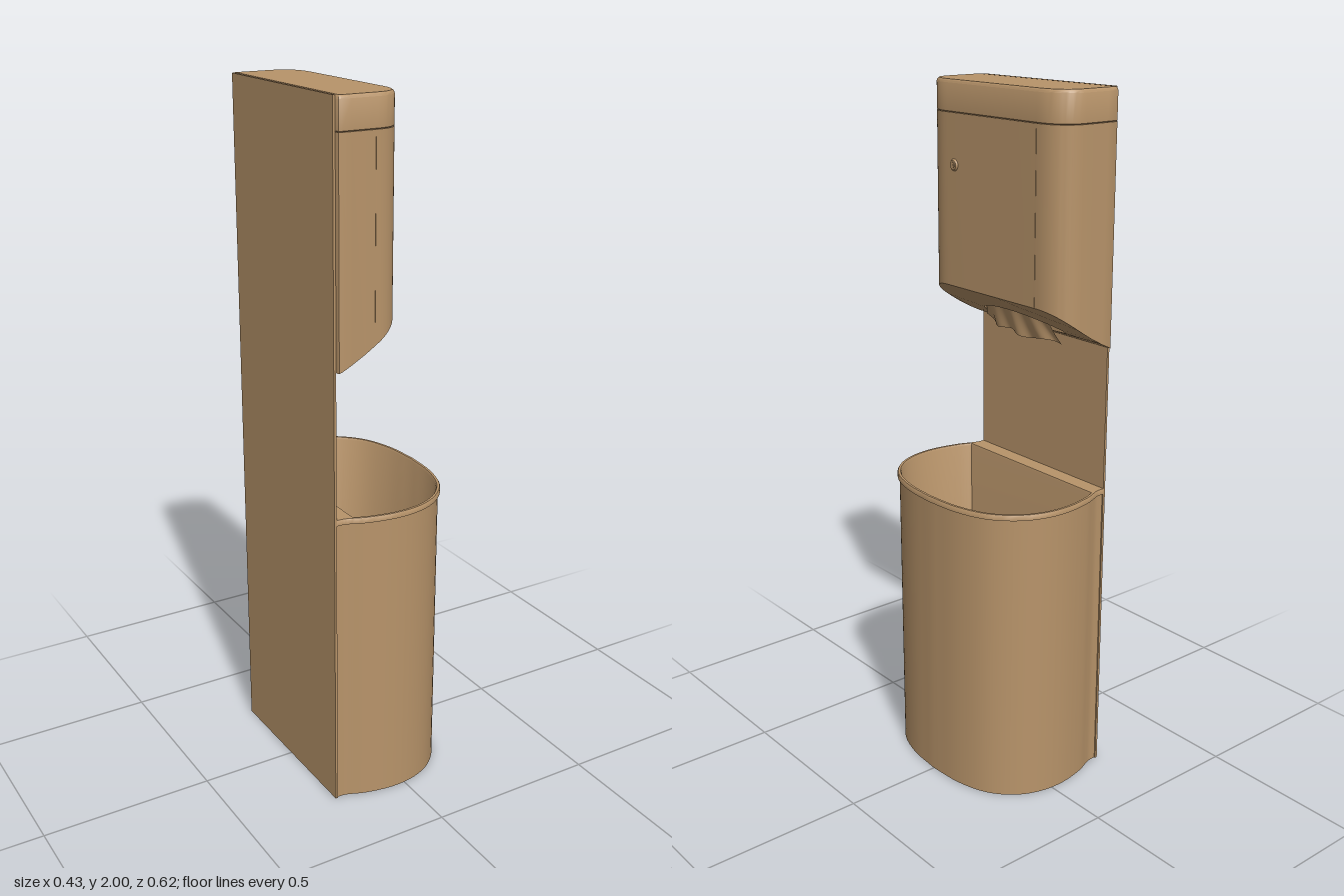
import * as THREE from 'three';
import { toCreasedNormals } from 'three/addons/utils/BufferGeometryUtils.js';

const WALL = -0.208; // front plane of the back panel
const material = new THREE.MeshStandardMaterial({ color: 0xb8946a, side: THREE.DoubleSide });

function addMesh(parent, name, geometry, x = 0, y = 0, z = 0) {
  const mesh = new THREE.Mesh(geometry, material);
  mesh.name = name;
  mesh.position.set(x, y, z);
  parent.add(mesh);
  return mesh;
}

// Smooth open outline [x, z] from the wall at +z, round the front, to the wall at -z
function mirroredOutline(half) {
  return [...half, ...half.slice(0, -1).reverse().map(([x, z]) => [x, -z])];
}

// Shrinks an outline along its normals, never passing behind minX
function inset(points, d, minX = WALL) {
  return points.map(([x, z], i) => {
    const a = points[Math.max(i - 1, 0)];
    const b = points[Math.min(i + 1, points.length - 1)];
    const tx = b[0] - a[0], tz = b[1] - a[1], l = Math.hypot(tx, tz) || 1;
    return [Math.max(x + (tz / l) * d, minX), z - (tx / l) * d];
  });
}

// Skins a stack of rings { points, y }, closing each ring along its back
function loft(rings, crease = 0.6) {
  const n = rings[0].points.length;
  const pos = [], index = [];
  rings.forEach(({ points, y }) => points.forEach(([x, z]) => pos.push(x, y, z)));
  for (let j = 0; j < rings.length - 1; j++) {
    for (let i = 0; i < n; i++) {
      const a = j * n + i, b = j * n + (i + 1) % n;
      index.push(a, b, b + n, a, b + n, a + n);
    }
  }
  const g = new THREE.BufferGeometry();
  g.setAttribute('position', new THREE.Float32BufferAttribute(pos, 3));
  g.setIndex(index);
  return toCreasedNormals(g, crease);
}

const pointRing = (points, x, y) => ({ points: points.map(() => [x, 0]), y });

function createBin() {
  const group = new THREE.Group();
  group.name = 'wasteBin';
  const curve = new THREE.CatmullRomCurve3([
    [WALL, 0.272], [-0.185, 0.273], [-0.165, 0.28], [-0.13, 0.294], [-0.04, 0.31], [0.04, 0.302],
    [0.11, 0.27], [0.17, 0.205], [0.203, 0.11], [0.213, 0],
  ].map(([x, z]) => new THREE.Vector3(x, 0, z)), false, 'centripetal');
  const half = curve.getPoints(36).map((p) => [p.x, p.z]);
  half[36] = [0.213, 0];
  const outline = mirroredOutline(half);
  const outer = (d, y) => ({ points: inset(outline, d), y });
  const inner = (d, y) => ({ points: inset(outline, d, -0.165 + d * 0.5), y });
  // outside wall, rolled rim, tapering inside wall, rounded floor
  addMesh(group, 'binShell', loft([
    pointRing(outline, 0, 0),
    outer(0.006, 0), outer(0.006, 0.868), outer(0, 0.87), outer(0, 0.883), outer(0.002, 0.886),
    inner(0.009, 0.886), inner(0.012, 0.88), inner(0.024, 0.09),
    inner(0.028, 0.055), inner(0.038, 0.03), inner(0.055, 0.02),
    pointRing(outline, 0, 0.02),
  ]));
  return group;
}

// Slanted, slightly curved underside of the dispenser
const undersideY = (x) => {
  const u = x - WALL;
  return 1.302 + 0.45 * u + 0.95 * u * u;
};

function createDispenser() {
  const group = new THREE.Group();
  group.name = 'towelDispenser';
  const front = -0.012, side = 0.286, seamY = 1.912;

  // Plan outline: small back corner, straight side, elliptical front corner
  const half = [[WALL, 0.278], [-0.206, 0.283], [-0.2, side], [-0.17, side], [-0.13, side], [-0.095, side]];
  for (let i = 1; i <= 14; i++) {
    const t = (i / 14) * Math.PI / 2;
    half.push([-0.095 + 0.083 * Math.sin(t) ** 0.85, 0.185 + 0.101 * Math.cos(t) ** 0.85]);
  }
  half.push([front, 0.09], [front, 0]);
  const outline = mirroredOutline(half);
  const ring = (d, y) => ({ points: inset(outline, d), y });

  // Housing with the towel slot cut up through the underside
  const toVec = ([x, z]) => new THREE.Vector2(x, -z);
  const shape = new THREE.Shape(outline.map(toVec));
  const slot = [];
  for (let i = 0; i <= 24; i++) {
    const s = (i / 24) * 2 - 1;
    slot.push([-0.135 + 0.062 * (1 - s * s) ** 0.6, s * 0.165]);
  }
  slot.push([-0.165, 0.15], [-0.175, 0.08], [-0.175, -0.08], [-0.165, -0.15]);
  shape.holes.push(new THREE.Path(slot.map(toVec)));
  const housing = new THREE.ExtrudeGeometry(shape, { depth: 1, bevelEnabled: false });
  housing.rotateX(-Math.PI / 2);
  const p = housing.attributes.position;
  for (let i = 0; i < p.count; i++) p.setY(i, p.getY(i) > 0.5 ? seamY : undersideY(p.getX(i)));
  addMesh(group, 'housing', toCreasedNormals(housing, 0.6));

  // Lid with a soft top edge and a fine shadow seam beneath
  addMesh(group, 'lid', loft([
    pointRing(outline, -0.11, seamY),
    ring(0.003, seamY), ring(0, seamY + 0.003), ring(0, 1.991),
    ring(0.002, 1.996), ring(0.007, 2), pointRing(outline, -0.11, 2),
  ]));

  // Door seams on the front and the side
  addMesh(group, 'frontDoorSeam', new THREE.BoxGeometry(0.002, 0.48, 0.003), front, 1.67, -0.185);
  addMesh(group, 'sideDoorSeam', new THREE.BoxGeometry(0.003, 0.52, 0.002), -0.1, 1.645, side);

  // Lock
  const lock = new THREE.Group();
  lock.name = 'lock';
  lock.position.set(front, 1.77, 0.157);
  lock.rotation.z = -Math.PI / 2;
  addMesh(lock, 'lockCollar', new THREE.CylinderGeometry(0.013, 0.017, 0.005, 24), 0, 0.0025);
  addMesh(lock, 'lockBarrel', new THREE.CylinderGeometry(0.008, 0.008, 0.002, 20), 0, 0.006);
  addMesh(lock, 'keySlot', new THREE.BoxGeometry(0.003, 0.001, 0.01), 0, 0.0073);
  group.add(lock);

  // Folded towels inside and the creased sheet hanging from the slot
  addMesh(group, 'towelStack', new THREE.BoxGeometry(0.085, 0.35, 0.28), -0.125, 1.6, 0);
  const sheet = new THREE.PlaneGeometry(1, 1, 40, 8);
  const q = sheet.attributes.position;
  for (let i = 0; i < q.count; i++) {
    const s = q.getX(i) * 2, v = 0.5 - q.getY(i);
    const top = 1.425 - 0.05 * s * s;
    const bottom = 1.302 + 0.022 * Math.max(0, s) ** 2 + 0.005 * Math.sin(s * 7);
    const fold = 0.007 * Math.sin(s * 11 + v * 2) * v;
    q.setXYZ(i, -0.083 - 0.033 * v - 0.02 * s * s + fold, top + (bottom - top) * v, s * (0.135 + 0.025 * v));
  }
  sheet.computeVertexNormals();
  addMesh(group, 'towelSheet', sheet);
  return group;
}

export function createModel() {
  const model = new THREE.Group();
  model.name = 'towelDispenserAndBin';
  addMesh(model, 'backPanel', new THREE.BoxGeometry(0.007, 2, 0.54), WALL - 0.0035, 1, 0);
  model.add(createBin(), createDispenser());
  return model;
}
